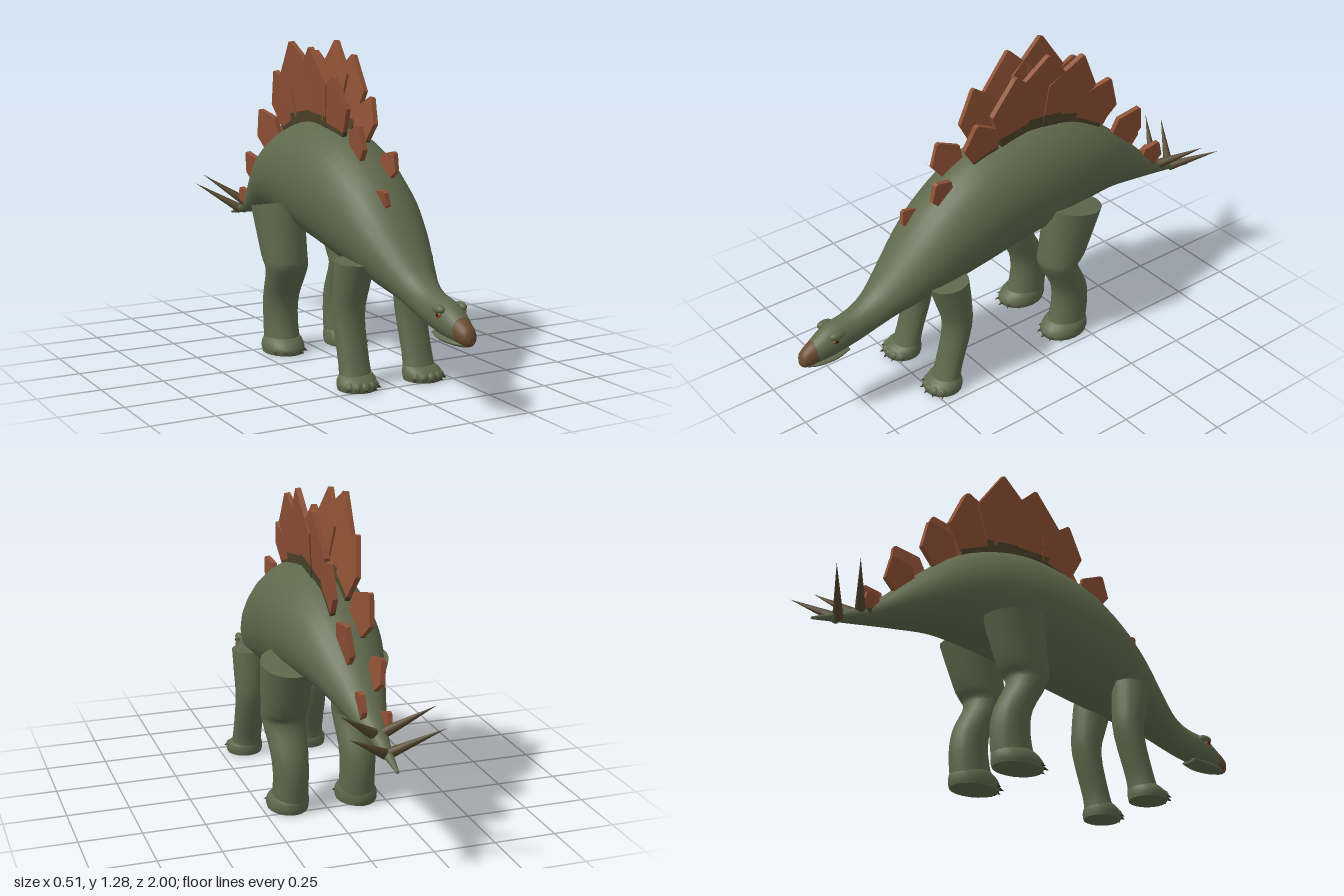
import * as THREE from 'three';

const mat = (name, color, extra = {}) => {
  const m = new THREE.MeshStandardMaterial({ color, ...extra });
  m.name = name;
  return m;
};

// Closed skin through rings; each ring has centre c and half-axes u, v
function loft(rings, n = 24) {
  const pos = [], idx = [];
  const addRing = (r) => {
    for (let j = 0; j < n; j++) {
      const t = (j / n) * Math.PI * 2, a = Math.cos(t), b = Math.sin(t);
      for (let k = 0; k < 3; k++) pos.push(r.c[k] + r.u[k] * a + r.v[k] * b);
    }
  };
  rings.forEach(addRing);
  for (let i = 0; i < rings.length - 1; i++) {
    for (let j = 0; j < n; j++) {
      const a = i * n + j, b = i * n + (j + 1) % n;
      idx.push(a, b, a + n, b, b + n, a + n);
    }
  }
  // flat end caps on their own vertices
  [rings[0], rings[rings.length - 1]].forEach((r, end) => {
    const s = pos.length / 3;
    addRing(r);
    pos.push(...r.c);
    for (let j = 0; j < n; j++) {
      const a = s + j, b = s + (j + 1) % n;
      idx.push(s + n, end ? a : b, end ? b : a);
    }
  });
  const g = new THREE.BufferGeometry();
  g.setAttribute('position', new THREE.Float32BufferAttribute(pos, 3));
  g.setIndex(idx);
  g.computeVertexNormals();
  return g;
}

// Smooth extra rows between the given rows of numbers
function refine(rows, steps = 3) {
  const out = [];
  const at = (i) => rows[Math.min(Math.max(i, 0), rows.length - 1)];
  for (let i = 0; i < rows.length - 1; i++) {
    for (let s = 0; s < steps; s++) {
      const t = s / steps;
      out.push(rows[i].map((p1, k) => {
        const p0 = at(i - 1)[k], p2 = at(i + 1)[k], p3 = at(i + 2)[k];
        return 0.5 * (2 * p1 + (p2 - p0) * t + (2 * p0 - 5 * p1 + 4 * p2 - p3) * t * t
          + (3 * p1 - p0 - 3 * p2 + p3) * t * t * t);
      }));
    }
  }
  out.push(at(rows.length));
  return out;
}

// Body stations: z, top, bottom, half width
const BODY = [
  [-0.99, 0.46, 0.45, 0.006], [-0.82, 0.54, 0.48, 0.032], [-0.72, 0.61, 0.5, 0.062], [-0.61, 0.715, 0.52, 0.1],
  [-0.45, 0.85, 0.545, 0.152], [-0.29, 0.93, 0.535, 0.183], [-0.13, 0.965, 0.5, 0.197], [0.03, 0.955, 0.475, 0.2],
  [0.2, 0.91, 0.44, 0.192], [0.36, 0.81, 0.41, 0.172], [0.47, 0.71, 0.385, 0.147], [0.6, 0.56, 0.355, 0.1],
  [0.68, 0.48, 0.325, 0.072], [0.76, 0.435, 0.3, 0.06], [0.87, 0.41, 0.28, 0.056], [0.94, 0.37, 0.275, 0.042],
];
const BEAK = [[0.93, 0.374, 0.274, 0.043], [0.965, 0.355, 0.272, 0.036], [0.99, 0.335, 0.275, 0.026], [1, 0.31, 0.285, 0.01]];

const trunk = (rows) => loft(refine(rows).map(([z, t, b, w]) => (
  { c: [0, (t + b) / 2, z], u: [w, 0, 0], v: [0, (t - b) / 2, 0] })));

// Leg stations: y, z, half depth, x, half width, tilt
const limb = (rows, s, steps = 3) => loft(refine(rows, steps).map(([y, z, rz, x, rx, tilt]) => (
  { c: [s * x, y, z], u: [0, tilt, rz], v: [rx, 0, 0] })), 20);

const LEGS = {
  front: {
    leg: [[0.03, 0.43, 0.06, 0.14, 0.068, 0], [0.1, 0.412, 0.05, 0.14, 0.062, 0], [0.27, 0.365, 0.058, 0.137, 0.064, 0],
      [0.38, 0.375, 0.072, 0.133, 0.07, 0], [0.485, 0.395, 0.084, 0.128, 0.076, -0.005]],
    foot: [[0.005, 0.445, 0.076, 0.145, 0.074, 0], [0.025, 0.445, 0.079, 0.145, 0.078, 0], [0.045, 0.438, 0.07, 0.143, 0.074, 0],
      [0.06, 0.43, 0.055, 0.14, 0.064, 0]],
    z: 0.445, r: 0.076, x: 0.145,
  },
  rear: {
    leg: [[0.03, -0.195, 0.088, 0.14, 0.072, 0], [0.14, -0.212, 0.08, 0.14, 0.07, 0], [0.24, -0.2, 0.075, 0.142, 0.075, 0],
      [0.36, -0.14, 0.078, 0.146, 0.088, 0], [0.42, -0.158, 0.1, 0.148, 0.094, 0.005], [0.62, -0.212, 0.122, 0.152, 0.105, 0.022]],
    foot: [[0.005, -0.18, 0.102, 0.145, 0.08, 0], [0.025, -0.18, 0.108, 0.145, 0.084, 0], [0.05, -0.187, 0.1, 0.143, 0.08, 0],
      [0.068, -0.195, 0.085, 0.14, 0.07, 0]],
    z: -0.18, r: 0.1, x: 0.145,
  },
};

// Back plate tips in two staggered rows: side, z, y
const PLATES = [
  [-1, 0.48, 0.755], [1, 0.39, 0.885], [-1, 0.305, 0.985], [1, 0.2, 1.08], [-1, 0.12, 1.16], [1, 0.03, 1.235],
  [-1, -0.05, 1.265], [1, -0.13, 1.285], [-1, -0.22, 1.28], [1, -0.3, 1.235], [-1, -0.38, 1.15], [1, -0.46, 1.075],
  [-1, -0.55, 0.97], [1, -0.63, 0.885], [-1, -0.7, 0.77], [1, -0.76, 0.67], [-1, -0.79, 0.6],
];

function backHeight(z) {
  const i = Math.max(1, BODY.findIndex((r) => r[0] > z));
  const [a, b] = [BODY[i - 1], BODY[i]];
  return a[1] + (b[1] - a[1]) * (z - a[0]) / (b[0] - a[0]);
}

function slab(points, thick) {
  const shape = new THREE.Shape(points.map((p) => new THREE.Vector2(...p)));
  return new THREE.ExtrudeGeometry(shape, { depth: thick, bevelEnabled: false })
    .translate(0, 0, -thick / 2).rotateY(-Math.PI / 2);
}

// Cone with its base at one point and its tip at another
function spike(from, to, radius) {
  const a = new THREE.Vector3(...from), d = new THREE.Vector3(...to).sub(a);
  const g = new THREE.ConeGeometry(radius, d.length(), 10).translate(0, d.length() / 2, 0);
  g.applyQuaternion(new THREE.Quaternion().setFromUnitVectors(new THREE.Vector3(0, 1, 0), d.clone().normalize()));
  return g.translate(a.x, a.y, a.z);
}

export function createModel() {
  const root = new THREE.Group();
  root.name = 'platedDinosaur';
  const skin = mat('skinGreen', 0x5f694c);
  const plateMat = mat('plateRust', 0x8f5135);
  const baseMat = mat('plateBaseOlive', 0x4c432a);
  const hornMat = mat('hornBrown', 0x55482f);
  const clawMat = mat('clawDark', 0x3b3124);
  const beakMat = mat('beakBrown', 0x6b4a30);
  const eyeMat = mat('eyeOrange', 0x9a5a28);
  const pupilMat = mat('pupilBlack', 0x15120e);
  const add = (name, geo, m, parent = root) => {
    const mesh = new THREE.Mesh(geo, m);
    mesh.name = name;
    parent.add(mesh);
    return mesh;
  };

  add('body', trunk(BODY), skin);
  add('beak', trunk(BEAK), beakMat);
  // lower jaw lip below the mouth line
  add('jaw', trunk([[0.8, 0.3, 0.285, 0.04], [0.86, 0.298, 0.27, 0.05], [0.93, 0.295, 0.267, 0.043], [0.975, 0.288, 0.27, 0.02]]), skin);

  for (const s of [-1, 1]) {
    const side = s > 0 ? 'left' : 'right';
    // eyes under a heavy brow
    const ball = (name, m, x, y, z, rx, ry, rz) => add(side + name,
      new THREE.SphereGeometry(1, 14, 10).scale(rx, ry, rz).translate(s * x, y, z), m);
    ball('Brow', skin, 0.046, 0.388, 0.855, 0.018, 0.017, 0.034);
    ball('Eye', eyeMat, 0.053, 0.37, 0.864, 0.008, 0.011, 0.015);
    ball('Pupil', pupilMat, 0.058, 0.371, 0.867, 0.005, 0.007, 0.007);

    // legs, feet and claws
    for (const [kind, L] of Object.entries(LEGS)) {
      const g = new THREE.Group();
      g.name = `${side}${kind === 'front' ? 'Front' : 'Rear'}Leg`;
      root.add(g);
      add('leg', limb(L.leg, s), skin, g);
      add('foot', limb(L.foot, s), skin, g);
      for (let i = 0; i < 5; i++) {
        const a = (i - 2) * 0.46, dx = Math.sin(a), dz = Math.cos(a);
        const p = (k, y) => [s * L.x + dx * k * 0.076, y, L.z + dz * k * L.r];
        add('toe', new THREE.SphereGeometry(0.02, 10, 8).translate(...p(0.84, 0.024)), skin, g);
        add('claw', spike(p(0.9, 0.024), p(1.25, 0.012), 0.012), clawMat, g);
      }
    }

    // tail spikes
    add(side + 'FrontTailSpike', spike([s * 0.005, 0.52, -0.795], [s * 0.18, 0.65, -0.9], 0.023), hornMat);
    add(side + 'RearTailSpike', spike([s * 0.003, 0.483, -0.885], [s * 0.18, 0.6, -0.995], 0.021), hornMat);
  }

  // back plates, square to the spine and leaning outward
  PLATES.forEach(([s, z, y], i) => {
    const slope = (backHeight(z + 0.05) - backHeight(z - 0.05)) / 0.1;
    const tilt = Math.atan(-slope) * 0.8;
    const h = (y - backHeight(z)) * Math.cos(tilt) + 0.045;
    const w = h * 0.36 + 0.008, b = w * 0.6, low = 0.24, mid = 0.62;
    const wl = b + (w - b) * (low / mid);
    const g = new THREE.Group();
    g.name = 'backPlate' + (i + 1);
    add('plateBase', slab([[-b, 0], [b, 0], [wl, h * low], [-wl, h * low]], 0.02), baseMat, g);
    add('plateBlade', slab([[-wl, h * low], [wl, h * low], [w, h * mid], [0.006, h], [-0.006, h], [-w, h * mid]], 0.02), plateMat, g);
    g.rotation.set(tilt, i % 4 < 2 ? 0.06 : -0.06, -s * 0.13);
    g.position.set(s * 0.033, y - h * Math.cos(tilt), z - h * Math.sin(tilt));
    root.add(g);
  });
  return root;
}
